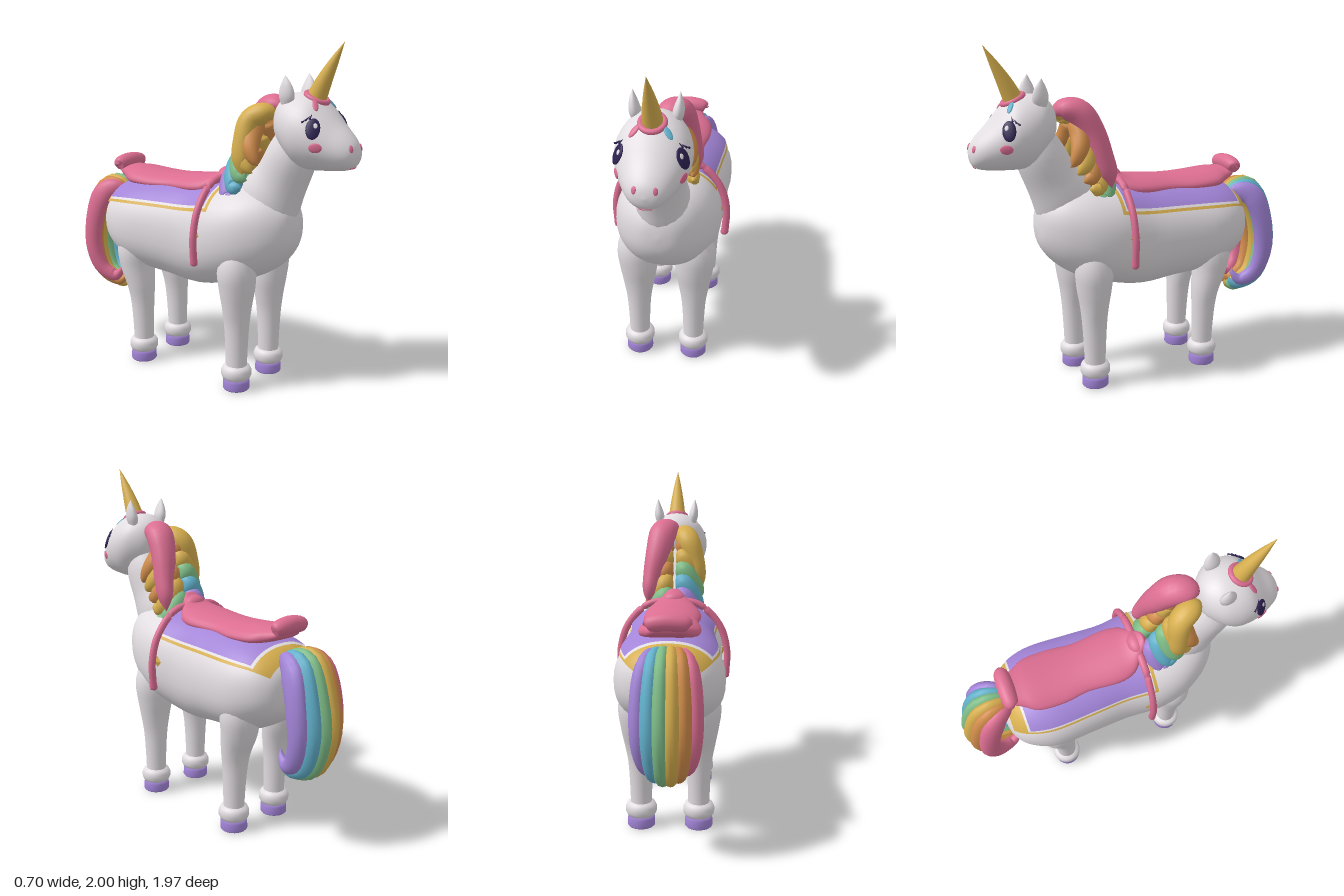
import * as THREE from 'three';
import { mergeVertices } from 'three/addons/utils/BufferGeometryUtils.js';

const mat = (name, color) => Object.assign(new THREE.MeshStandardMaterial({ color }), { name });
const white = mat('soft white', 0xe2dde1), pink = mat('pink', 0xdc6e92), gold = mat('gold', 0xd6ae4e);
const orange = mat('orange', 0xd08c4a), green = mat('green', 0x7fbd88), blue = mat('sky blue', 0x62b1cc);
const purple = mat('lavender', 0xa385d8), dark = mat('eye violet', 0x2d2150);

// Smooth interpolation through rows [x, y, z, radiusX, radiusY]
function spline(rows, u) {
  const n = rows.length - 1, f = Math.min(Math.max(u, 0), 1) * n;
  const i = Math.min(Math.floor(f), n - 1), t = f - i;
  const [a, b, c, d] = [rows[Math.max(i - 1, 0)], rows[i], rows[i + 1], rows[Math.min(i + 2, n)]];
  return b.map((_, k) => 0.5 * (2 * b[k] + (c[k] - a[k]) * t
    + (2 * a[k] - 5 * b[k] + 4 * c[k] - d[k]) * t * t + (3 * b[k] - a[k] - 3 * c[k] + d[k]) * t * t * t));
}

// Smooth surface from a function of (u, v)
function grid(fn, nu, nv) {
  const pos = [], index = [];
  for (let i = 0; i <= nu; i++) for (let j = 0; j <= nv; j++) pos.push(...fn(i / nu, j / nv).toArray());
  for (let i = 0; i < nu; i++) for (let j = 0; j < nv; j++) {
    const a = i * (nv + 1) + j, b = a + nv + 1;
    index.push(a, b, b + 1, a, b + 1, a + 1);
  }
  let g = new THREE.BufferGeometry();
  g.setAttribute('position', new THREE.Float32BufferAttribute(pos, 3));
  g.setIndex(index);
  g = mergeVertices(g, 1e-5);
  g.computeVertexNormals();
  return g;
}

// Tube with elliptical rings at right angles to its path
function tube(rows, nu = 24, nv = 20) {
  return grid((u, v) => {
    const [x, y, z, rx, ry] = spline(rows, u), p = spline(rows, u - 0.01), q = spline(rows, u + 0.01);
    const T = new THREE.Vector3(q[0] - p[0], q[1] - p[1], q[2] - p[2]).normalize();
    const ref = Math.abs(T.x) > 0.8 ? new THREE.Vector3(0, 0, 1) : new THREE.Vector3(1, 0, 0);
    const S = ref.addScaledVector(T, -ref.dot(T)).normalize();
    const U = new THREE.Vector3().crossVectors(T, S), a = v * Math.PI * 2;
    return new THREE.Vector3(x, y, z)
      .addScaledVector(S, Math.max(rx, 0) * Math.sin(a)).addScaledVector(U, Math.max(ry, 0) * Math.cos(a));
  }, nu, nv);
}

// Upright rings along z; angle 0 is the top
const hull = (rows, power) => (u, a) => {
  const [x, y, z, rx, ry] = spline(rows, u), e = 2 / power, s = Math.sin(a), c = Math.cos(a);
  return new THREE.Vector3(x + Math.max(rx, 0) * Math.sign(s) * Math.abs(s) ** e,
    y + Math.max(ry, 0) * Math.sign(c) * Math.abs(c) ** e, z);
};
function atZ(surface, z) {
  let lo = 0, hi = 1;
  for (let i = 0; i < 30; i++) { const m = (lo + hi) / 2; if (surface(m, 0).z < z) lo = m; else hi = m; }
  return lo;
}
function normalAt(surface, u, a) {
  const du = surface(u + 0.004, a).sub(surface(u - 0.004, a));
  return du.cross(surface(u, a + 0.02).sub(surface(u, a - 0.02))).normalize();
}

const bodySurface = hull([
  [0, 0.87, -0.72, 0, 0], [0, 0.88, -0.71, 0.1, 0.08], [0, 0.885, -0.68, 0.19, 0.15],
  [0, 0.885, -0.6, 0.265, 0.215], [0, 0.87, -0.45, 0.31, 0.27], [0, 0.865, -0.2, 0.297, 0.29],
  [0, 0.86, 0, 0.285, 0.305], [0, 0.89, 0.2, 0.305, 0.295], [0, 0.92, 0.35, 0.285, 0.275],
  [0, 0.945, 0.47, 0.23, 0.235], [0, 0.96, 0.55, 0.165, 0.175], [0, 0.97, 0.6, 0.09, 0.1], [0, 0.97, 0.615, 0, 0]], 2.25);
const headSurface = hull([
  [0, 1.57, 0.485, 0, 0], [0, 1.57, 0.51, 0.09, 0.1], [0, 1.56, 0.58, 0.165, 0.162], [0, 1.53, 0.66, 0.196, 0.2],
  [0, 1.515, 0.74, 0.195, 0.195], [0, 1.49, 0.8, 0.177, 0.167], [0, 1.455, 0.87, 0.142, 0.127],
  [0, 1.43, 0.935, 0.102, 0.09], [0, 1.42, 0.97, 0.06, 0.053], [0, 1.42, 0.983, 0, 0]], 2);

export function createModel() {
  const model = new THREE.Group();
  const add = (name, geometry, material) => {
    const m = new THREE.Mesh(geometry, material);
    m.name = name;
    model.add(m);
    return m;
  };
  const ellipsoid = (x, y, z) => new THREE.SphereGeometry(1, 20, 14).scale(x, y, z);
  // Sets a small part on a hull, facing outward
  const attach = (name, geometry, material, surface, z, a, roll = 0) => {
    const u = atZ(surface, z), p = surface(u, a), m = add(name, geometry, material);
    m.position.copy(p);
    m.lookAt(p.clone().add(normalAt(surface, u, a)));
    m.rotateZ(roll);
    return m;
  };

  // Body, neck and head
  add('body', grid((u, v) => bodySurface(u, v * Math.PI * 2), 48, 40), white);
  add('neck', tube([[0, 0.93, 0.37, 0.1, 0.12], [0, 1.1, 0.43, 0.15, 0.185], [0, 1.25, 0.515, 0.142, 0.155],
    [0, 1.4, 0.585, 0.14, 0.14], [0, 1.55, 0.64, 0.1, 0.1]]), white);
  add('head', grid((u, v) => headSurface(u, v * Math.PI * 2), 40, 36), white);

  // Legs with fetlock rings and hooves
  for (const s of [-1, 1]) for (const [name, z, bend] of [['frontLeg', 0.33, 0], ['hindLeg', -0.4, 1]]) {
    const x = s * 0.165;
    add(name, tube([[x, 0.05, z, 0.06, 0.06], [x, 0.2, z, 0.062, 0.064], [x, 0.38, z - bend * 0.005, 0.072, 0.073],
      [x, 0.5, z - bend * 0.015, 0.092, 0.084], [x, 0.62, z - bend * 0.04, 0.112, 0.103],
      [s * 0.17, 0.74, z - bend * 0.05, 0.115, 0.11], [s * 0.15, 0.87, z - bend * 0.05, 0.08, 0.08]]), white);
    const lathe = pts => new THREE.LatheGeometry(pts.map(p => new THREE.Vector2(...p)), 28);
    add('fetlock', lathe([[0.05, 0.06], [0.078, 0.068], [0.089, 0.09], [0.089, 0.118], [0.079, 0.14], [0.055, 0.15]]), white).position.set(x, 0, z);
    add('hoof', lathe([[0, 0], [0.072, 0], [0.079, 0.008], [0.078, 0.05], [0.072, 0.072], [0, 0.072]]), purple).position.set(x, 0, z);
  }

  // Layered saddle cloth following the back
  const cloth = (name, z0, z1, reach, lift, material) => {
    const u0 = atZ(bodySurface, z0), u1 = atZ(bodySurface, z1);
    add(name, grid((u, v) => {
      const uu = u0 + (u1 - u0) * u, a = (v * 2 - 1) * reach;
      return bodySurface(uu, a).addScaledVector(normalAt(bodySurface, uu, a || 0.001), lift);
    }, 36, 32), material);
  };
  cloth('clothBorder', -0.675, 0.19, 1.02, 0.009, gold);
  cloth('clothTrim', -0.6, 0.172, 0.96, 0.014, white);
  cloth('clothPanel', -0.585, 0.165, 0.91, 0.019, purple);

  // Saddle pad draped over the back, with roll and pommel
  const pad = hull([[0, 1.2, -0.66, 0, 0], [0, 1.195, -0.65, 0.08, 0.025], [0, 1.18, -0.58, 0.12, 0.04],
    [0, 1.175, -0.5, 0.165, 0.045], [0, 1.17, -0.35, 0.172, 0.04], [0, 1.17, -0.2, 0.155, 0.04],
    [0, 1.18, -0.02, 0.17, 0.045], [0, 1.19, 0.08, 0.15, 0.05], [0, 1.215, 0.14, 0.09, 0.055],
    [0, 1.25, 0.18, 0.05, 0.045], [0, 1.27, 0.2, 0, 0]], 2.4);
  add('saddlePad', grid((u, v) => {
    const p = pad(u, v * Math.PI * 2);
    p.y -= 0.9 * p.x * p.x;
    return p;
  }, 40, 28), pink);
  add('saddleRoll', tube([[-0.115, 1.215, -0.64, 0, 0], [-0.1, 1.225, -0.645, 0.04, 0.04], [0, 1.235, -0.645, 0.05, 0.05],
    [0.1, 1.225, -0.645, 0.04, 0.04], [0.115, 1.215, -0.64, 0, 0]]), pink);
  add('pommel', ellipsoid(0.07, 0.045, 0.05), pink).position.set(0, 1.235, 0.14);
  for (const s of [-1, 1]) {
    add('saddleStrap', tube([[0, 1.23, 0.14], [s * 0.13, 1.215, 0.14], [s * 0.22, 1.155, 0.14], [s * 0.295, 1.05, 0.14],
      [s * 0.328, 0.92, 0.14], [s * 0.325, 0.8, 0.14], [s * 0.32, 0.755, 0.14], [s * 0.32, 0.742, 0.14]]
      .map((p, i) => [...p, i === 7 ? 0 : 0.022, i === 7 ? 0 : 0.02]), 36, 14), pink);
    add('buckle', new THREE.OctahedronGeometry(0.035).scale(0.3, 1, 1), gold).position.set(s * 0.298, 0.92, 0.13);
  }

  // Tail: six locks side by side, the middle ones bulging out
  [pink, orange, gold, green, blue, purple].forEach((m, i) => {
    const k = i - 2.5, out = 0.07 * (1 - (k / 2.5) ** 2);
    const path = [[0.3, 1.03, -0.64, 0, 0], [0.5, 1.06, -0.69, 0.035, 0.05], [0.85, 1.02 + out * 0.5, -0.78 - out * 0.4, 0.043, 0.07],
      [1, 0.87 + out * 0.3, -0.835 - out * 0.8, 0.047, 0.065], [1, 0.68, -0.855 - out, 0.047, 0.06],
      [0.85, 0.53 - out * 0.7, -0.815 - out * 0.7, 0.042, 0.052],
      [0.6, 0.47 - out * 0.8, -0.73, 0.034, 0.04], [0.5, 0.51 - out * 1.3, -0.68, 0.02, 0.018], [0.48, 0.555 - out * 1.6, -0.67, 0, 0]];
    add('tailLock', tube(path.map(([w, ...r]) => [k * 0.057 * w, ...r]), 32, 14), m);
  });

  // Mane: a long lock on each side over shorter tiers down the crest
  add('maneLock', tube([[0.02, 1.6, 0.51, 0, 0], [0.04, 1.64, 0.46, 0.07, 0.055], [0.075, 1.62, 0.37, 0.085, 0.075],
    [0.105, 1.51, 0.3, 0.075, 0.07], [0.14, 1.37, 0.255, 0.055, 0.062], [0.155, 1.27, 0.225, 0.04, 0.05], [0.16, 1.19, 0.21, 0, 0]], 32), pink);
  add('maneLock', tube([[-0.02, 1.58, 0.5, 0, 0], [-0.05, 1.61, 0.44, 0.06, 0.055], [-0.085, 1.57, 0.36, 0.07, 0.065],
    [-0.125, 1.46, 0.34, 0.06, 0.06], [-0.155, 1.35, 0.34, 0.04, 0.05], [-0.165, 1.26, 0.36, 0, 0]], 32), gold);
  for (const [s, colours] of [[1, [orange, gold, orange, gold, green]], [-1, [orange, gold, green, blue, purple]]])
    colours.forEach((m, i) => {
      const y = 1.56 - i * 0.075, z = 0.37 - i * 0.037;
      add('maneTier', tube([[s * 0.01, y + 0.02, z + 0.02, 0, 0], [s * 0.045, y, z, 0.055, 0.055],
        [s * 0.095, y - 0.07, z, 0.06, 0.06], [s * 0.14, y - 0.14, z + 0.025, 0.048, 0.05],
        [s * 0.155, y - 0.2 + i * 0.02, z + 0.06, 0.025, 0.03], [s * 0.15, y - 0.23 + i * 0.03, z + 0.085, 0, 0]], 20, 14), m);
    });

  // Horn with a band at its base
  add('horn', tube([[0, 1.68, 0.71, 0.058, 0.058], [0, 1.79, 0.762, 0.044, 0.044],
    [0, 1.9, 0.822, 0.024, 0.024], [0, 2, 0.88, 0, 0]]), gold);
  const band = add('hornBand', new THREE.TorusGeometry(0.06, 0.016, 12, 28), pink);
  band.position.set(0, 1.705, 0.725);
  band.rotation.x = -1.13;

  // Ears and face
  for (const s of [-1, 1]) {
    add('ear', tube([[s * 0.1, 1.66, 0.6, 0.022, 0.03], [s * 0.11, 1.715, 0.605, 0.03, 0.046],
      [s * 0.117, 1.77, 0.605, 0.02, 0.034], [s * 0.12, 1.825, 0.6, 0, 0]]), white);
    const eyeAngle = s * 1.14;
    attach('eye', ellipsoid(0.038, 0.057, 0.011), dark, headSurface, 0.8, eyeAngle, s * 0.15);
    const shine = attach('eyeShine', ellipsoid(0.012, 0.016, 0.004), white, headSurface, 0.806, s * 1.02);
    shine.translateZ(0.009);
    for (let i = 0; i < 3; i++) {
      const lash = attach('eyelash', new THREE.ConeGeometry(0.006, 0.035, 8), dark, headSurface, 0.775 - i * 0.01, s * (0.87 + i * 0.11), s * (0.5 + i * 0.25));
      lash.translateZ(0.006);
    }
    attach('cheek', ellipsoid(0.035, 0.026, 0.008), pink, headSurface, 0.82, s * 1.68);
    attach('nostril', ellipsoid(0.013, 0.02, 0.006), pink, headSurface, 0.966, s * 0.9);
    attach('forelock', ellipsoid(0.017, 0.04, 0.008), s > 0 ? blue : pink, headSurface, 0.765, s * 0.45, s * 0.3);
  }
  const smile = [-0.035, -0.018, 0, 0.018, 0.035].map(x => {
    const a = Math.PI - x * 11;
    return headSurface(atZ(headSurface, 0.957 - Math.abs(x) * 0.2), a);
  });
  add('mouth', new THREE.TubeGeometry(new THREE.CatmullRomCurve3(smile), 16, 0.005, 8), pink);
  return model;
}
